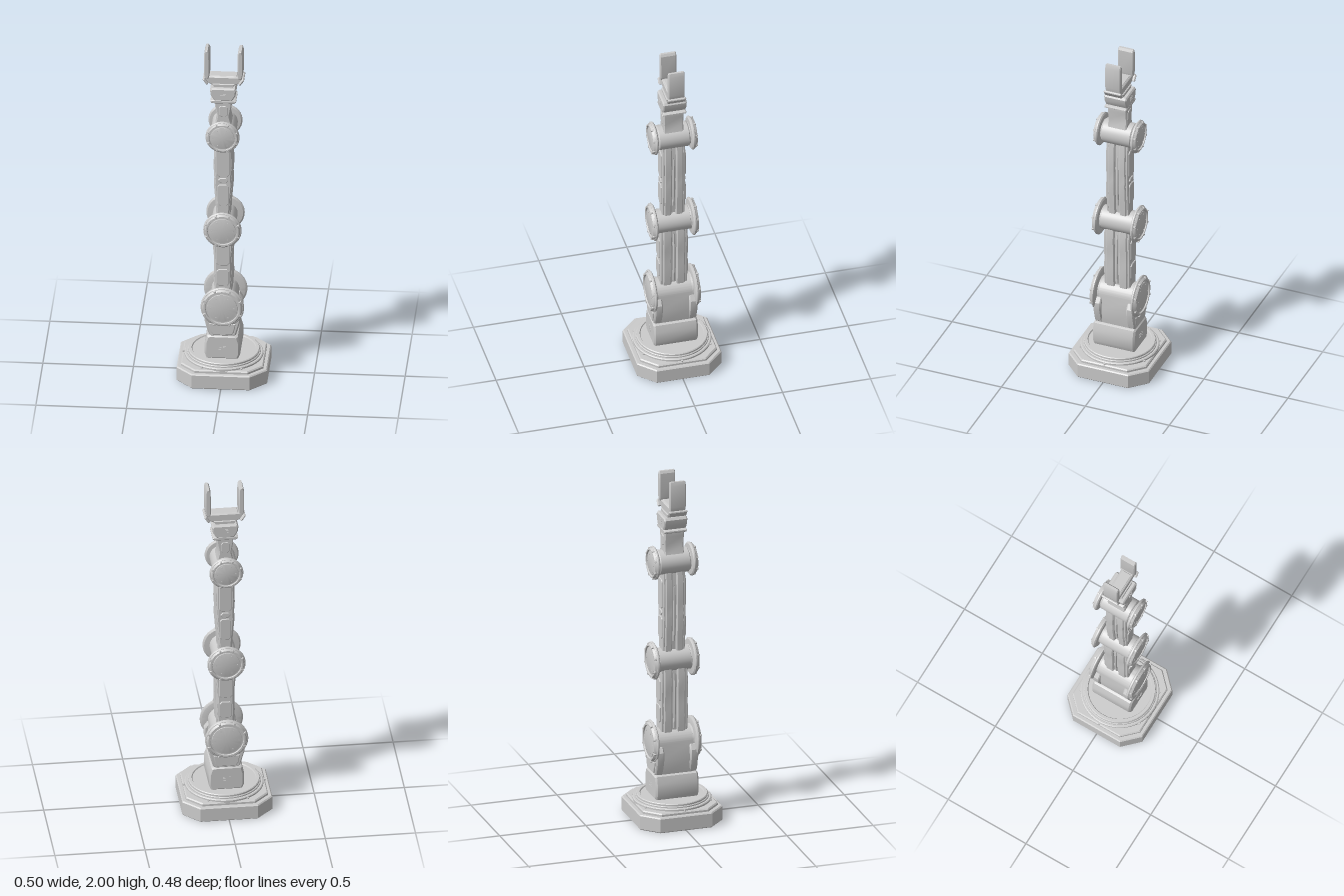
import * as THREE from 'three';
import { toCreasedNormals } from 'three/addons/utils/BufferGeometryUtils.js';

const material = new THREE.MeshStandardMaterial({ color: 0xcccccc });

export function createModel() {
  const model = new THREE.Group();
  model.name = 'roboticArm';

  const add = (name, geometry, x = 0, y = 0, z = 0, parent = model) => {
    const mesh = new THREE.Mesh(toCreasedNormals(geometry, 0.5), material);
    mesh.name = name;
    mesh.position.set(x, y, z);
    parent.add(mesh);
    return mesh;
  };

  // Outline (point list or Shape) extruded along z, centred, with a chamfer that stays inside the outline
  const prism = (outline, depth, bevel = 0.005) => {
    const shape = outline instanceof THREE.Shape
      ? outline : new THREE.Shape(outline.map(([x, y]) => new THREE.Vector2(x, y)));
    const geometry = new THREE.ExtrudeGeometry(shape, {
      depth: depth - 2 * bevel, bevelEnabled: bevel > 0, bevelSize: bevel, bevelThickness: bevel,
      bevelOffset: -bevel, bevelSegments: 1, curveSegments: 24,
    });
    return geometry.translate(0, 0, bevel - depth / 2);
  };

  // Rectangle with cut corners
  const cutRect = (w, h, c) => {
    const x = w / 2, y = h / 2;
    return [[-x + c, -y], [x - c, -y], [x, -y + c], [x, y - c], [x - c, y], [-x + c, y], [-x, y - c], [-x, -y + c]];
  };

  // Symmetric outline from right-hand points listed bottom to top
  const mirrored = (half) => [...half, ...half.slice().reverse().map(([x, y]) => [-x, y])];

  const lathe = (points, segments = 48) =>
    new THREE.LatheGeometry(points.map(([r, y]) => new THREE.Vector2(r, y)), segments);

  // Base: two cut-corner plates and a stepped turntable
  const plate = (w, d, h, cut, bevel) => prism(cutRect(w, d, cut), h, bevel).rotateX(-Math.PI / 2);
  add('basePlate', plate(0.5, 0.48, 0.088, 0.09, 0.006), 0, 0.044, 0);
  add('baseUpperPlate', plate(0.455, 0.435, 0.04, 0.082, 0.006), 0, 0.085, 0);
  add('turntable', lathe([
    [0.217, 0.1], [0.217, 0.114], [0.212, 0.118], [0.203, 0.118], [0.203, 0.124], [0.2, 0.127],
    [0.197, 0.127], [0.197, 0.136], [0.193, 0.14], [0.178, 0.14], [0.174, 0.134], [0, 0.134],
  ], 64));
  for (const [x, z] of [[0.11, 0.19], [-0.11, 0.19], [0.11, -0.19], [-0.11, -0.19], [0.224, 0], [-0.224, 0]]) {
    add('baseBolt', new THREE.CylinderGeometry(0.006, 0.006, 0.008, 10), x, 0.108, z);
  }

  // Pedestal block with vents
  add('pedestal', prism(mirrored([[0.085, 0.13], [0.098, 0.16], [0.098, 0.225], [0.085, 0.268], [0.07, 0.275]]), 0.25, 0.01));
  for (const side of [1, -1]) {
    for (const x of [-0.012, 0.012]) {
      for (const y of [0.19, 0.2, 0.21]) add('pedestalVent', new THREE.BoxGeometry(0.016, 0.004, 0.004), x, y, side * 0.125);
    }
  }

  // Shoulder housing: round top flowing into a block, flanked by cheeks
  const housing = new THREE.Shape();
  housing.moveTo(-0.07, 0.265);
  housing.lineTo(0.07, 0.265);
  housing.lineTo(0.085, 0.36);
  housing.lineTo(0.075, 0.45);
  housing.absarc(0, 0.45, 0.075, 0, Math.PI, false);
  housing.lineTo(-0.085, 0.36);
  add('shoulderHousing', prism(housing, 0.205, 0.006));
  for (const side of [1, -1]) {
    add('shoulderCheek', prism(mirrored([[0.062, 0.268], [0.075, 0.28], [0.1, 0.365], [0.1, 0.41], [0.08, 0.44]]), 0.045, 0.007), 0, 0, side * 0.098);
    add('shoulderCheekPanel', prism(mirrored([[0.052, 0.282], [0.064, 0.3], [0.074, 0.35]]), 0.012, 0.004), 0, 0, side * 0.121);
  }

  // Round cover on each end of a joint: rim, recessed ring, ribs, bolted cap
  const cover = (R) => {
    const group = new THREE.Group();
    group.name = 'jointCover';
    add('coverDisc', lathe([
      [0, -0.015], [0.62 * R, -0.015], [0.64 * R, -0.002], [0.92 * R, 0], [R, 0.006], [R, 0.013], [0.95 * R, 0.018],
      [0.93 * R, 0.018], [0.91 * R, 0.024], [0.86 * R, 0.03], [0.78 * R, 0.03], [0.76 * R, 0.022],
      [0.7 * R, 0.022], [0.69 * R, 0.026], [0.66 * R, 0.027], [0, 0.027],
    ]).rotateX(Math.PI / 2), 0, 0, 0, group);
    for (let i = 0; i < 8; i++) {
      const a = (i + 0.5) * Math.PI / 4;
      const rib = add('coverRib', prism(cutRect(0.1 * R, 0.17 * R, 0.01 * R), 0.014, 0.002),
        Math.cos(a) * 0.87 * R, Math.sin(a) * 0.87 * R, 0.024, group);
      rib.rotation.z = a - Math.PI / 2;
    }
    for (let i = 0; i < 6; i++) {
      const a = i * Math.PI / 3;
      add('coverBolt', new THREE.CylinderGeometry(0.003, 0.003, 0.004, 8).rotateX(Math.PI / 2),
        Math.cos(a) * 0.55 * R, Math.sin(a) * 0.55 * R, 0.027, group);
    }
    return group;
  };

  // Joints: drum along z with a cover at both ends
  const joint = (name, y, R, drumRadius, drumHalf, coverZ) => {
    const group = new THREE.Group();
    group.name = name;
    group.position.y = y;
    model.add(group);
    const b = 0.005;
    add('drum', lathe([
      [0, -drumHalf], [drumRadius - b, -drumHalf], [drumRadius, -drumHalf + b],
      [drumRadius, drumHalf - b], [drumRadius - b, drumHalf], [0, drumHalf],
    ], 40).rotateX(Math.PI / 2), 0, 0, 0, group);
    for (const side of [0, 1]) {
      const end = cover(R);
      end.position.z = side ? -coverZ : coverZ;
      end.rotation.y = side * Math.PI;
      group.add(end);
    }
  };
  joint('shoulderJoint', 0.45, 0.12, 0.073, 0.105, 0.108);
  joint('elbowJoint', 0.925, 0.106, 0.068, 0.095, 0.1);
  joint('wristJoint', 1.5, 0.094, 0.07, 0.088, 0.096);

  // Arm links: narrow core, paired frames, raised front and back panels, bowed side rods
  const link = (name, half, depth, panels, y0, y1) => {
    const group = new THREE.Group();
    group.name = name;
    model.add(group);
    const outline = (inset) => mirrored(half.map(([x, y]) => [x - inset, y]));
    add('core', prism(outline(0.014), depth * 1.6, 0), 0, 0, 0, group);
    for (const side of [1, -1]) {
      add('frame', prism(outline(0), depth * 0.62, 0.006), 0, 0, side * depth * 0.49, group);
      add('outerFrame', prism(outline(0.007), depth * 0.25, 0.005), 0, 0, side * depth * 0.86, group);
      for (const [w, y, h] of panels) {
        add('panel', prism(cutRect(w, h, 0.012), 0.01, 0.003), 0, y, side * depth, group);
      }
      const x = half[0][0];
      const path = new THREE.QuadraticBezierCurve3(new THREE.Vector3(side * (x - 0.01), y0, 0),
        new THREE.Vector3(side * (x + 0.012), (y0 + y1) / 2, 0), new THREE.Vector3(side * (x - 0.01), y1, 0));
      add('sideRod', new THREE.TubeGeometry(path, 16, 0.007, 8), 0, 0, 0, group);
    }
  };
  link('lowerLink', [[0.046, 0.5], [0.053, 0.6], [0.05, 0.67], [0.052, 0.74], [0.058, 0.81], [0.05, 0.88]], 0.078,
    [[0.07, 0.615, 0.1], [0.072, 0.755, 0.13]], 0.53, 0.85);
  link('upperLink', [[0.038, 0.98], [0.042, 1.05], [0.053, 1.18], [0.05, 1.22], [0.054, 1.28], [0.052, 1.38], [0.044, 1.45]], 0.066,
    [[0.062, 1.12, 0.13], [0.07, 1.32, 0.17], [0.056, 1.21, 0.03]], 1.04, 1.4);

  // Neck, flange and wrist block
  add('neck', prism(mirrored([[0.046, 1.55], [0.034, 1.6], [0.045, 1.66], [0.045, 1.69]]), 0.112, 0.006));
  for (const side of [1, -1]) add('neckPanel', prism(cutRect(0.048, 0.065, 0.01), 0.01, 0.003), 0, 1.635, side * 0.055);
  add('wristFlange', prism(mirrored([[0.06, 1.685], [0.071, 1.693], [0.071, 1.7], [0.06, 1.705]]), 0.13, 0.004));
  add('wristBlock', prism(mirrored([[0.048, 1.7], [0.068, 1.733], [0.073, 1.765], [0.064, 1.778]]), 0.134, 0.007));
  for (const side of [1, -1]) {
    for (const y of [1.735, 1.745, 1.755]) add('wristVent', new THREE.BoxGeometry(0.034, 0.004, 0.004), 0, y, side * 0.067);
  }

  // Gripper: palm, side clips and two upright fingers
  add('palmStem', prism(mirrored([[0.05, 1.77], [0.06, 1.795]]), 0.09, 0.003));
  add('palm', prism(mirrored([[0.06, 1.785], [0.092, 1.8], [0.1, 1.815], [0.1, 1.832], [0.075, 1.836]]), 0.075, 0.005));
  add('palmInset', prism(cutRect(0.15, 0.02, 0.004), 0.06, 0.003), 0, 1.829, 0);
  const fingerOutline = [[-0.009, 0], [0.009, 0], [0.015, 0.025], [0.015, 0.15], [0.008, 0.172], [-0.005, 0.172],
    [-0.013, 0.158], [-0.015, 0.02]];
  for (const side of [1, -1]) {
    const clip = add('fingerClip', prism(cutRect(0.014, 0.042, 0.004), 0.108, 0.006), side * 0.099, 1.812, 0);
    clip.rotation.z = -side * 0.6;
    const finger = add('finger', prism(fingerOutline, 0.092, 0.005), side * 0.092, 1.828, 0);
    finger.rotation.y = side > 0 ? 0 : Math.PI;
  }

  return model;
}
